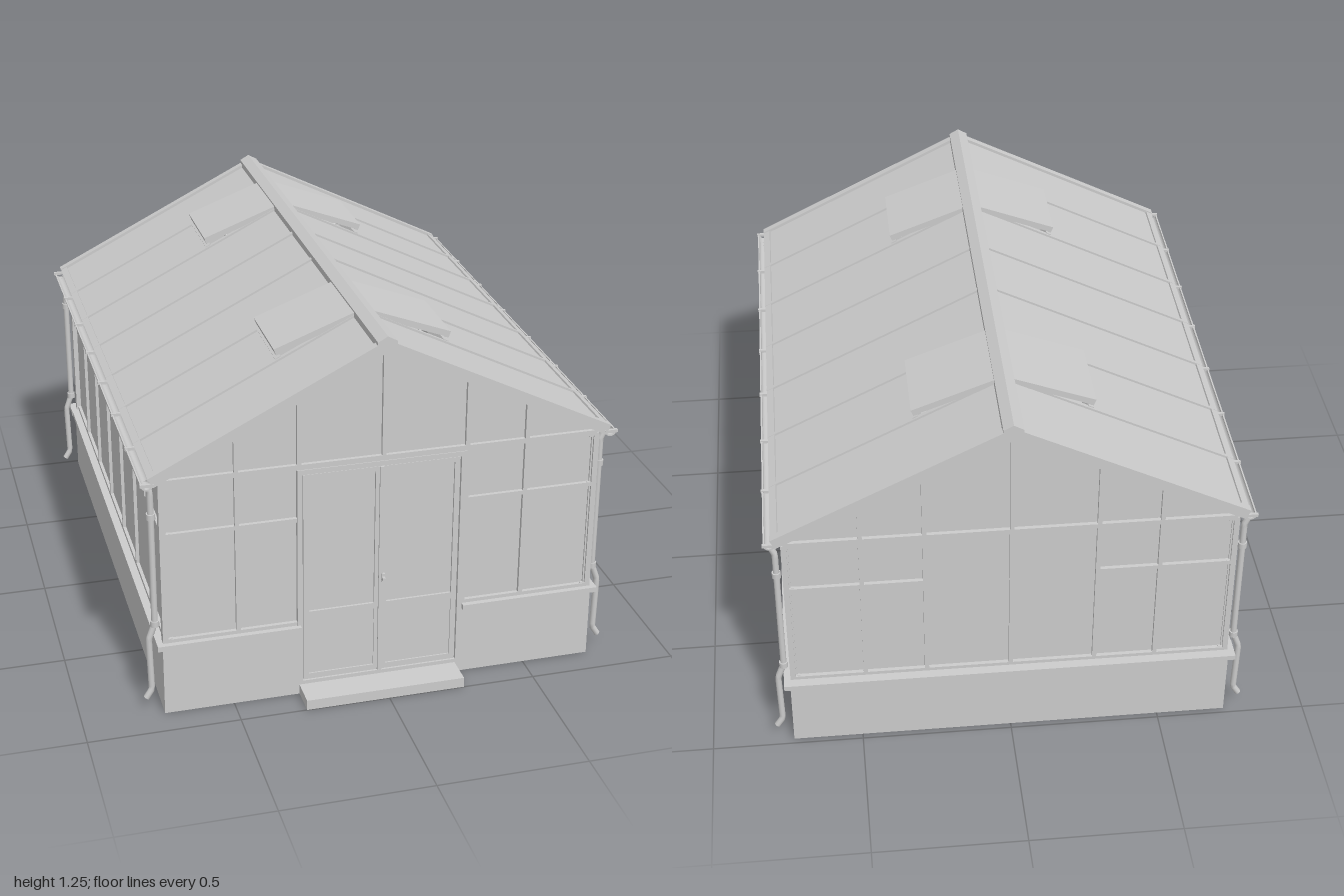
import * as THREE from 'three';

const mat = new THREE.MeshStandardMaterial({ color: 0xcccccc, side: THREE.DoubleSide });
const SLOPE = 0.5, ANGLE = Math.atan(SLOPE);
const FRONT = 0.9, BACK = -0.98, HALF = 0.73, SILL = 0.25, EAVE = 0.83;
const BARS = [0.64, 0.375, 0.11, -0.157, -0.425, -0.693]; // glazing bars along the length
const COLS = [-0.48, -0.278, 0, 0.278, 0.48];             // glazing bars across the gables
const under = (x) => 1.2 - SLOPE * Math.abs(x);           // underside of the roof

function add(parent, name, geometry) {
  const mesh = new THREE.Mesh(geometry, mat);
  mesh.name = name;
  parent.add(mesh);
  return mesh;
}

// Box given by its limits on each axis
function span(parent, name, x0, x1, y0, y1, z0, z1) {
  const g = new THREE.BoxGeometry(Math.abs(x1 - x0), Math.abs(y1 - y0), Math.abs(z1 - z0));
  return add(parent, name, g.translate((x0 + x1) / 2, (y0 + y1) / 2, (z0 + z1) / 2));
}

function group(parent, name) {
  const g = new THREE.Group();
  g.name = name;
  parent.add(g);
  return g;
}

// Rectangular frame lying in the xy plane, with one or more openings
function frame(parent, name, x0, x1, y0, y1, openings, z, depth) {
  const rect = (S, a, b, c, d) => new S().moveTo(a, c).lineTo(b, c).lineTo(b, d).lineTo(a, d).closePath();
  const shape = rect(THREE.Shape, x0, x1, y0, y1);
  openings.forEach((o) => shape.holes.push(rect(THREE.Path, ...o)));
  return add(parent, name, new THREE.ExtrudeGeometry(shape, { depth, bevelEnabled: false }).translate(0, 0, z));
}

function buildBase(root) {
  const base = group(root, 'base');
  const t = 0.06;
  span(base, 'floor', -HALF, HALF, 0, 0.035, BACK, FRONT);
  span(base, 'backPlinth', -HALF, HALF, 0, SILL, BACK, BACK + t);
  span(base, 'backLedge', -0.75, 0.75, 0.242, 0.26, -1, BACK + t);
  for (const s of [-1, 1]) {
    span(base, 'sidePlinth', s * (HALF - t), s * HALF, 0, SILL, BACK, FRONT);
    span(base, 'sideLedge', s * (HALF - t), s * 0.748, 0.242, 0.26, BACK, 0.915);
    span(base, 'frontPlinth', s * 0.27, s * HALF, 0, SILL, FRONT - t, FRONT);
    span(base, 'frontLedge', s * 0.275, s * 0.748, 0.242, 0.26, FRONT - t, 0.915);
  }
  span(base, 'doorstep', -0.28, 0.257, 0, 0.035, FRONT - 0.02, 1);
}

// Gable wall: z is the outer face, dir points outwards
function buildGable(root, name, z, dir, hasDoor) {
  const gable = group(root, name);
  const zi = z - dir * 0.03, shape = new THREE.Shape();
  shape.moveTo(-0.71, SILL);
  if (hasDoor) shape.lineTo(-0.27, SILL).lineTo(-0.27, 0.81).lineTo(0.27, 0.81).lineTo(0.27, SILL);
  shape.lineTo(0.71, SILL).lineTo(0.71, under(0.71)).lineTo(0, 1.2).lineTo(-0.71, under(0.71)).closePath();
  add(gable, 'gableGlass', new THREE.ExtrudeGeometry(shape, { depth: 0.006, bevelEnabled: false }))
    .position.z = z - dir * 0.016 - 0.003;
  for (const x of COLS) {
    const bottom = hasDoor && x === 0 ? EAVE : SILL;
    span(gable, 'gableBar', x - 0.007, x + 0.007, bottom, under(x), zi, z);
  }
  span(gable, 'gableRail', -0.72, 0.72, 0.822, 0.84, zi, z);
  for (const s of [-1, 1]) {
    span(gable, 'cornerPost', s * 0.71, s * 0.728, SILL, EAVE, zi, z);
    span(gable, 'transom', s * 0.278, s * 0.715, 0.638, 0.652, zi, z);
    span(gable, 'sillRail', s * 0.278, s * 0.715, 0.258, 0.272, zi, z);
  }
  if (!hasDoor) span(gable, 'middleSillRail', -0.278, 0.278, 0.258, 0.272, zi, z);
}

function buildDoor(root) {
  const door = group(root, 'doubleDoor');
  frame(door, 'doorFrame', -0.285, 0.275, 0.035, 0.822, [[-0.268, 0.258, 0.048, 0.805]], 0.865, 0.035);
  for (const [a, b] of [[-0.265, -0.009], [-0.004, 0.255]]) {
    const l = a + 0.018, r = b - 0.018;
    frame(door, 'doorLeaf', a, b, 0.05, 0.802, [[l, r, 0.07, 0.283], [l, r, 0.305, 0.785]], 0.87, 0.026);
    span(door, 'doorGlass', l, r, 0.3, 0.79, 0.882, 0.888);
    span(door, 'doorPanel', l, r, 0.06, 0.29, 0.88, 0.891);
  }
  span(door, 'doorMeetingStrip', -0.014, 0, 0.05, 0.802, 0.89, 0.902);
  span(door, 'handlePlate', -0.006, 0.006, 0.385, 0.415, 0.895, 0.906);
  span(door, 'handle', -0.005, 0.005, 0.395, 0.405, 0.9, 0.918);
}

function buildSide(root, s) {
  const side = group(root, s > 0 ? 'leftWall' : 'rightWall');
  const x0 = s * 0.695, x1 = s * 0.722;
  span(side, 'sideGlass', s * 0.705, s * 0.711, SILL, EAVE, -0.96, 0.89);
  for (const z of BARS) span(side, 'sideBar', x0, x1, SILL, EAVE, z - 0.007, z + 0.007);
  for (const y of [0.266, 0.645, 0.825]) span(side, 'sideRail', x0, x1, y - 0.008, y + 0.008, -0.965, 0.895);
  // Opening windows in the upper row
  for (const i of [0, 3, 4]) {
    const a = -BARS[i] + 0.01, b = -BARS[i + 1] - 0.01;
    const f = frame(side, 'sideWindow', a, b, 0.656, 0.812, [[a + 0.014, b - 0.014, 0.67, 0.798]], 0, 0.014);
    f.rotation.y = Math.PI / 2;
    f.position.x = s * 0.719 - 0.007;
  }
}

function buildRoof(root, s) {
  const roof = group(root, s > 0 ? 'leftRoof' : 'rightRoof');
  // Local x runs down the slope, local y is normal to it
  const slope = group(roof, 'roofSlope');
  slope.position.y = 1.24;
  slope.rotation.z = -s * ANGLE;
  const L = 0.85, ends = [0.905, ...BARS, -0.968];
  for (let i = 0; i < 7; i++) {
    const open = i === 1 || i === 5;
    span(slope, 'roofGlass', s * (open ? 0.31 : 0.01), s * L, -0.018, -0.01, ends[i], ends[i + 1]);
    if (open) span(slope, 'ventSill', s * 0.305, s * 0.325, -0.03, 0, ends[i], ends[i + 1]);
  }
  for (const z of BARS) span(slope, 'roofBar', s * 0.01, s * L, -0.034, -0.003, z - 0.007, z + 0.007);
  span(slope, 'frontVerge', s * 0.01, s * L, -0.036, 0, 0.885, 0.912);
  span(slope, 'backVerge', s * 0.01, s * L, -0.036, 0, -0.974, -0.947);
  span(slope, 'eaveRail', s * 0.825, s * L, -0.034, -0.004, -0.968, 0.905);

  // Roof vents, hinged at the ridge and propped open
  for (const i of [0, 4]) {
    const a = BARS[i] + 0.005, b = BARS[i + 1] - 0.008, mid = (a + b) / 2;
    const vent = group(roof, 'roofVent');
    vent.position.y = 1.238;
    vent.rotation.z = -s * 0.36;
    span(vent, 'ventPane', s * 0.02, s * 0.315, -0.007, 0.003, a, b);
    span(vent, 'ventLip', s * 0.302, s * 0.315, -0.02, 0.003, a, b);
    for (const z of [a - 0.006, b + 0.006]) span(vent, 'ventEdge', s * 0.02, s * 0.315, -0.018, 0.003, z - 0.006, z + 0.006);
    for (const dz of [-0.05, 0.05]) {
      const arm = new THREE.LineCurve3(new THREE.Vector3(s * 0.28, 1.128, mid + dz), new THREE.Vector3(s * 0.2, 1.115, mid + dz * 1.6));
      add(roof, 'ventArm', new THREE.TubeGeometry(arm, 1, 0.005, 6));
    }
  }
}

// Half-round gutter, downpipes and clips along one eave
function buildGutter(root, s) {
  const gutter = group(root, s > 0 ? 'leftGutter' : 'rightGutter');
  const half = new THREE.Shape();
  half.absarc(0, 0, 0.02, Math.PI, Math.PI * 2, false);
  half.lineTo(0.015, 0).absarc(0, 0, 0.015, Math.PI * 2, Math.PI, true);
  const trough = add(gutter, 'gutterTrough', new THREE.ExtrudeGeometry(half, { depth: 1.875, bevelEnabled: false, curveSegments: 8 }));
  trough.position.set(s * 0.762, 0.838, -0.967);
  for (const z of [0.908, ...BARS, -0.967])
    span(gutter, 'gutterClip', s * 0.74, s * 0.785, 0.832, 0.842, z - 0.005, z + 0.005);
  for (const z of [0.862, -0.952]) {
    const path = new THREE.CurvePath();
    const pts = [[0.762, 0.825], [0.747, 0.79], [0.747, 0.32], [0.768, 0.262], [0.764, 0.075], [0.783, 0.045]]
      .map(([x, y]) => new THREE.Vector3(s * x, y, z));
    for (let i = 1; i < pts.length; i++) path.add(new THREE.LineCurve3(pts[i - 1], pts[i]));
    add(gutter, 'downpipe', new THREE.TubeGeometry(path, 48, 0.0105, 10));
    for (const y of [0.705, 0.32]) {
      const collar = add(gutter, 'pipeCollar', new THREE.CylinderGeometry(0.015, 0.015, 0.02, 10));
      collar.position.set(s * 0.747, y, z);
    }
  }
}

export function createModel() {
  const root = new THREE.Group();
  root.name = 'greenhouse';
  buildBase(root);
  buildGable(root, 'frontGable', 0.897, 1, true);
  buildGable(root, 'backGable', -0.968, -1, false);
  buildDoor(root);
  for (const s of [-1, 1]) {
    buildSide(root, s);
    buildRoof(root, s);
    buildGutter(root, s);
  }
  // Ridge cap
  const cap = new THREE.Shape();
  cap.moveTo(-0.032, 1.2).lineTo(0, 1.185).lineTo(0.032, 1.2).lineTo(0.032, 1.235);
  cap.lineTo(0, 1.253).lineTo(-0.032, 1.235).closePath();
  add(root, 'ridgeCap', new THREE.ExtrudeGeometry(cap, { depth: 1.89, bevelEnabled: false })).position.z = -0.976;
  return root;
}
